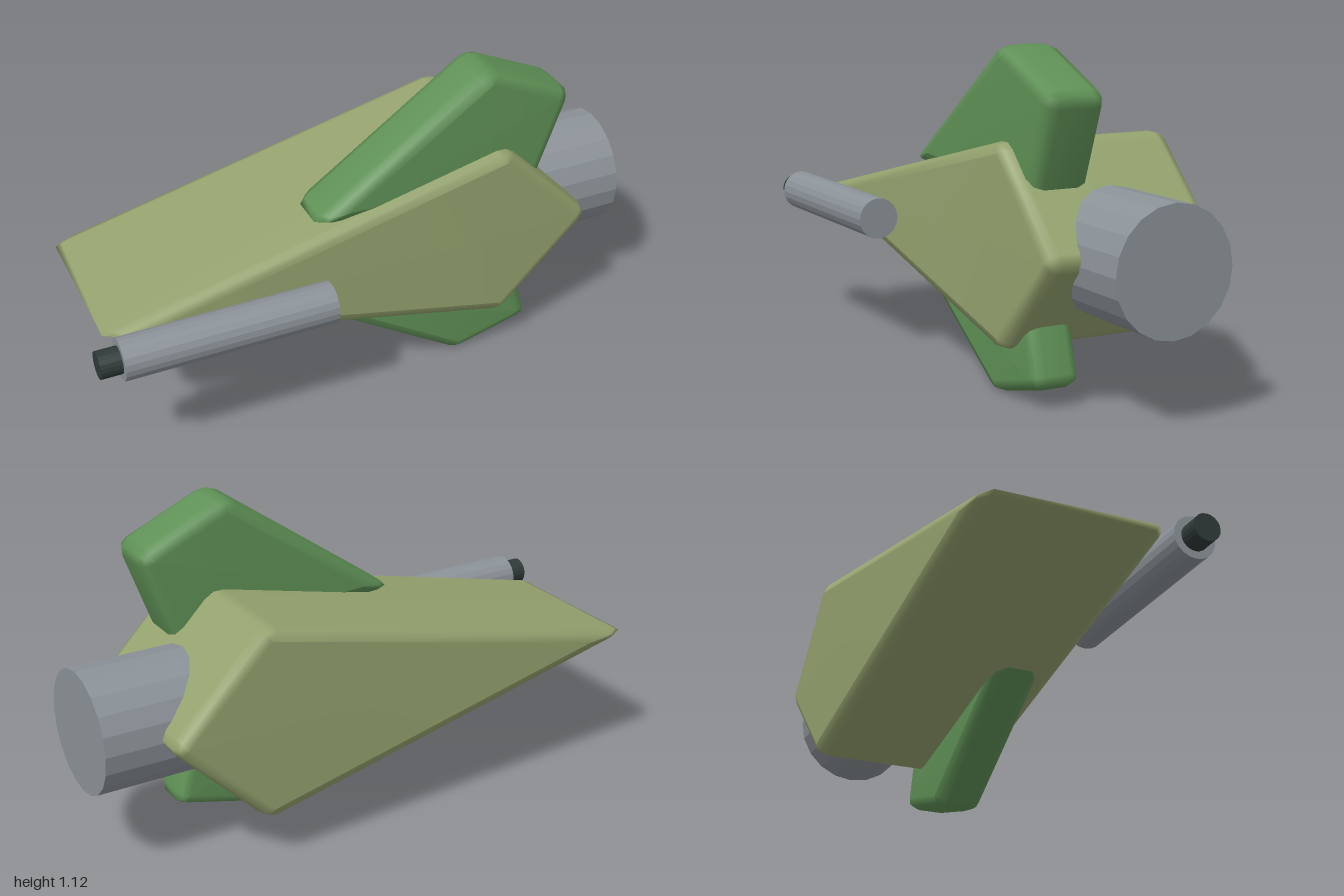
import * as THREE from 'three';
import { mergeVertices } from 'three/addons/utils/BufferGeometryUtils.js';

const paint = (name, color) => {
  const m = new THREE.MeshStandardMaterial({ color });
  m.name = name;
  return m;
};

// Moves every edge of a counter-clockwise polygon inwards by d, keeping the corners mitred
function inset(pts, d) {
  const n = pts.length;
  return pts.map((p, i) => {
    const a = p.clone().sub(pts[(i + n - 1) % n]).normalize();
    const b = pts[(i + 1) % n].clone().sub(p).normalize();
    const n1 = new THREE.Vector2(-a.y, a.x), n2 = new THREE.Vector2(-b.y, b.x);
    return p.clone().addScaledVector(n1.clone().add(n2), d / (1 + n1.dot(n2)));
  });
}

// Replaces each corner by a short curve that starts and ends at distance cut from it
function roundCorners(pts, cut) {
  const n = pts.length;
  return pts.flatMap((p, i) => {
    const a = p.clone().add(pts[(i + n - 1) % n].clone().sub(p).setLength(cut));
    const b = p.clone().add(pts[(i + 1) % n].clone().sub(p).setLength(cut));
    return new THREE.QuadraticBezierCurve(a, p, b).getPoints(2);
  });
}

// Thick convex plate with all edges softly bevelled
function bevelledPlate(profile, zBack, zFront, r) {
  const outline = profile.map(([x, y]) => new THREE.Vector2(x, y));
  const layers = [];
  for (const step of [-2, -1, 0, 0, 1, 2]) {
    const phi = (step * Math.PI) / 4, c = Math.max(Math.cos(phi), 0.01);
    const z = layers.length < 3 ? zBack + r + r * Math.sin(phi) : zFront - r + r * Math.sin(phi);
    layers.push(roundCorners(inset(outline, r * (1 - c)), r * c).map(p => [p.x, p.y, z]));
  }
  const n = layers[0].length, pos = layers.flat(2), index = [];
  for (let l = 0; l < layers.length - 1; l++) {
    for (let i = 0; i < n; i++) {
      const j = (i + 1) % n, a = l * n + i, b = l * n + j;
      index.push(a, b, b + n, a, b + n, a + n);
    }
  }
  const last = (layers.length - 1) * n;
  for (let i = 1; i < n - 1; i++) {
    index.push(0, i + 1, i, last, last + i, last + i + 1);
  }
  let g = new THREE.BufferGeometry();
  g.setAttribute('position', new THREE.Float32BufferAttribute(pos, 3));
  g.setIndex(index);
  g = mergeVertices(g, 1e-5);
  g.computeVertexNormals();
  return g;
}

// Faceted cylinder lying along x
function rod(x0, x1, radius, sides, y, z) {
  const g = new THREE.CylinderGeometry(radius, radius, x1 - x0, sides);
  g.rotateZ(-Math.PI / 2).translate((x0 + x1) / 2, y, z);
  const flat = g.toNonIndexed();
  flat.computeVertexNormals();
  return flat;
}

export function createModel() {
  const olive = paint('olive hull', 0x95a36f);
  const green = paint('green fin', 0x5f9156);
  const grey = paint('grey metal', 0x8b9298);
  const dark = paint('dark muzzle', 0x2f3a38);

  const model = new THREE.Group();
  const add = (name, geometry, material) => {
    const mesh = new THREE.Mesh(geometry, material);
    mesh.name = name;
    model.add(mesh);
  };

  // Kite-shaped hull, pointed at the nose
  add('hull', bevelledPlate(
    [[-0.965, 0.498], [0.49, 0.166], [0.826, 0.5], [0.49, 0.84]], -0.39, 0.23, 0.042), olive);

  // Fins above and below
  add('upperFin', bevelledPlate(
    [[-0.215, 0.69], [0.615, 0.65], [0.74, 0.99], [0.418, 1.135]], -0.016, 0.192, 0.045), green);
  add('lowerFin', bevelledPlate(
    [[-0.22, 0.345], [0.343, -0.007], [0.638, 0.071], [0.565, 0.32]], 0.006, 0.172, 0.04), green);

  // Engine at the tail
  add('engine', rod(0.3, 1, 0.206, 20, 0.49, -0.08), grey);

  // Side gun with its narrower muzzle
  add('gunBarrel', rod(-0.928, -0.208, 0.071, 20, 0.492, 0.316), grey);
  add('gunMuzzle', rod(-1, -0.92, 0.046, 20, 0.492, 0.316), dark);

  return model;
}
